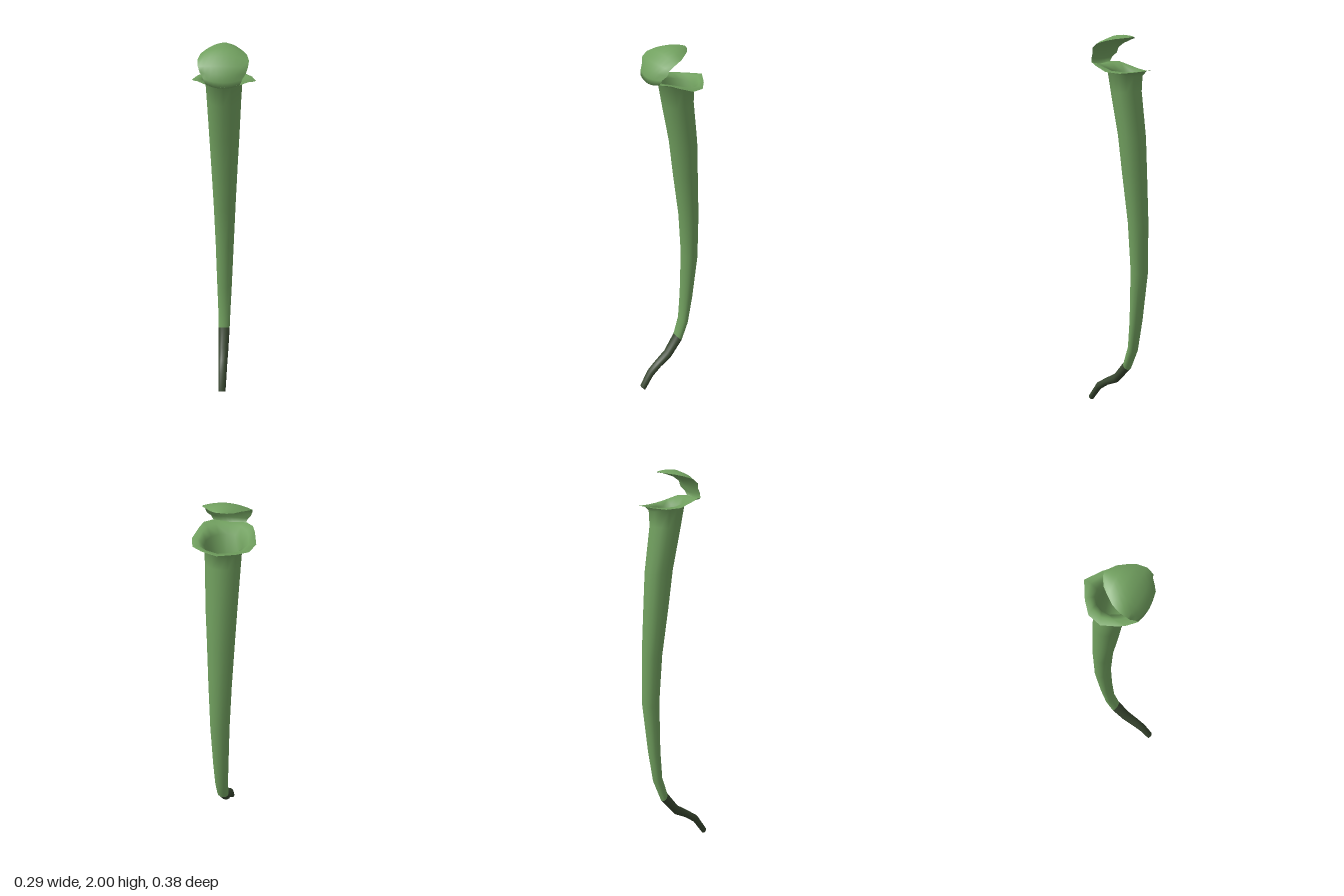
import * as THREE from 'three';

const SIDES = 14;

// Joins rows of points into a smooth surface; closed rows wrap around
function loft(rows, closed) {
  const n = rows[0].length, index = [];
  const cols = closed ? n : n - 1;
  for (let i = 0; i < rows.length - 1; i++) {
    for (let j = 0; j < cols; j++) {
      const k = (j + 1) % n;
      const a = i * n + j, b = i * n + k, c = (i + 1) * n + k, d = (i + 1) * n + j;
      index.push(a, b, c, a, c, d);
    }
  }
  const geo = new THREE.BufferGeometry();
  geo.setAttribute('position', new THREE.Float32BufferAttribute(rows.flat(2), 3));
  geo.setIndex(index);
  geo.computeVertexNormals();
  return geo;
}

// Oval ring spanning a front point and a back point, with half width w
function ring([fz, fy, bz, by, w]) {
  return Array.from({ length: SIDES }, (_, j) => {
    const a = (j / SIDES) * Math.PI * 2, c = Math.cos(a);
    return [
      w * Math.sin(a),
      (fy + by) / 2 + c * (fy - by) / 2,
      (fz + bz) / 2 + c * (fz - bz) / 2,
    ];
  });
}

export function createModel() {
  const green = new THREE.MeshStandardMaterial({ color: 0x71a05f, side: THREE.DoubleSide });
  green.name = 'leafGreen';
  const dark = new THREE.MeshStandardMaterial({ color: 0x37452f, side: THREE.DoubleSide });
  dark.name = 'darkStem';

  const group = new THREE.Group();
  group.name = 'pitcherPlant';
  const add = (name, geo, mat) => {
    const mesh = new THREE.Mesh(geo, mat);
    mesh.name = name;
    group.add(mesh);
  };

  // Sections from the foot up: front z, front y, back z, back y, half width
  const sections = [
    [0.19, 0.028, 0.168, 0.004, 0.02],
    [0.135, 0.12, 0.115, 0.085, 0.024],
    [0.08, 0.163, 0.06, 0.13, 0.026],
    [0.015, 0.21, -0.005, 0.165, 0.029],
    [-0.05, 0.305, -0.083, 0.265, 0.033],
    [-0.08, 0.41, -0.125, 0.38, 0.036],
    [-0.09, 0.57, -0.152, 0.56, 0.042],
    [-0.094, 0.85, -0.181, 0.83, 0.05],
    [-0.077, 1.1, -0.178, 1.1, 0.058],
    [-0.042, 1.35, -0.165, 1.35, 0.067],
    [-0.02, 1.53, -0.155, 1.52, 0.074],
    [0.02, 1.73, -0.126, 1.74, 0.081],
    [0.04, 1.835, -0.13, 1.81, 0.085],
  ];
  const rings = sections.map(ring);

  // Dark stem with a closed foot
  const foot = rings[0].map(() => [0, 0.016, 0.179]);
  add('stem', loft(rings.slice(0, 5), true), dark);
  add('stemFoot', loft([foot, rings[0]], true), dark);

  // Hollow pitcher and flared lip, smooth into each other
  const half = [
    [0, 1.862, 0.11], [0.075, 1.872, 0.1], [0.112, 1.872, 0.065], [0.126, 1.86, 0.035],
    [0.145, 1.835, -0.035], [0.126, 1.828, -0.1], [0.075, 1.832, -0.145], [0, 1.84, -0.19],
  ];
  const lipEdge = [...half, ...half.slice(1, 7).reverse().map(([x, y, z]) => [-x, y, z])];
  const top = rings[rings.length - 1];
  const crest = lipEdge.map((p, j) => p.map((v, k) =>
    top[j][k] + (v - top[j][k]) * 0.5 + (k === 1 ? 0.012 : 0)));
  add('pitcher', loft([...rings.slice(4), crest, lipEdge], true), green);

  // Hood arching back over the mouth: z, y, half width, edge drop, edge z shift
  const hoodRows = [
    [0.06, 1.845, 0.07, -0.015, -0.01],
    [0.108, 1.858, 0.075, -0.014, -0.01],
    [0.11, 1.885, 0.085, -0.01, -0.02],
    [0.098, 1.915, 0.1, 0.0, -0.025],
    [0.078, 1.948, 0.108, 0.008, -0.01],
    [0.04, 1.982, 0.112, 0.022, 0],
    [0.0, 1.998, 0.101, 0.026, 0],
    [-0.035, 2.0, 0.077, 0.02, 0],
    [-0.07, 1.996, 0.052, 0.012, 0.004],
    [-0.091, 1.99, 0.022, 0.003, 0.006],
  ];
  const hood = hoodRows.map(([z, y, w, drop, shift]) =>
    Array.from({ length: 9 }, (_, j) => {
      const u = j / 4 - 1;
      return [u * w, y - drop * u * u, z + shift * u * u];
    }));
  add('hood', loft(hood, false), green);

  return group;
}
